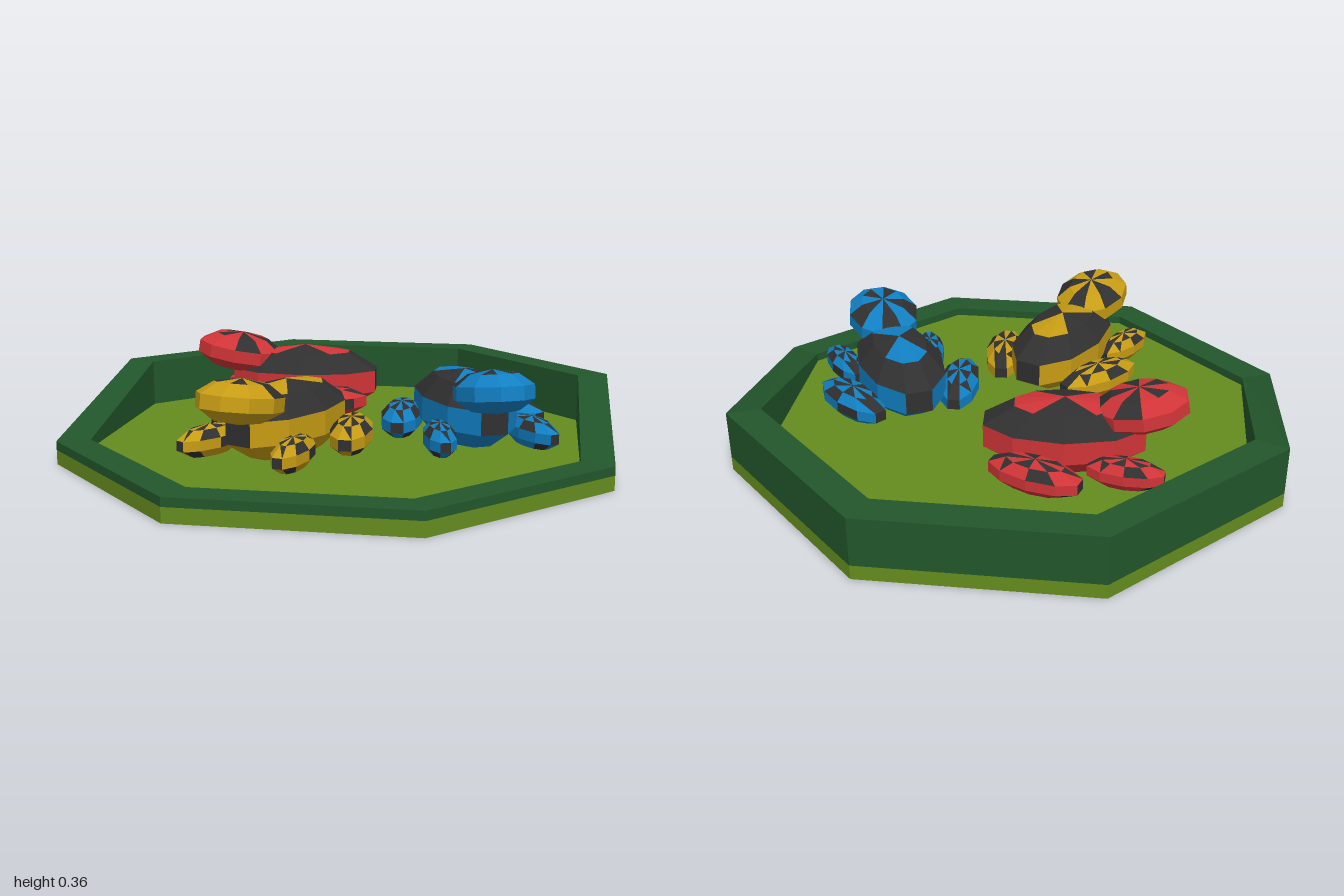
import * as THREE from 'three';

const paint = (color) => new THREE.MeshStandardMaterial({ color, flatShading: true });
const GRASS = paint(0x658c1e), HEDGE = paint(0x22562b), DARK = paint(0x303030);

// Skin patterns: one row per ring of the blob, one sign per side.
// '#' dark, '.' coloured, '^' only the upper triangle dark.
const SKIN = {
  body: ['#...##...#', '##########', '..#....#..', '..........', '..........'],
  head: ['.#.#.#.#.#', '.....#.#.#', '..........', '..........', '..........'],
  limb: ['.#.#.#.#.#', '#.^.#.^#^.', '..#..#.#..', '.#.#...#..', '..........'],
};

// Faceted ellipsoid with ten sides and five rings, split into dark and coloured faces
function blob(name, skin, material, radii, position) {
  const geo = new THREE.SphereGeometry(1, 10, 5);
  geo.scale(...radii);
  geo.clearGroups();
  let start = 0;
  skin.forEach((row, ring) => {
    const triangles = ring === 0 || ring === 4 ? 1 : 2;
    for (const sign of row) {
      for (let t = 0; t < triangles; t++) {
        const dark = sign === '#' || (sign === '^' && t === 0);
        geo.addGroup(start, 3, dark ? 1 : 0);
        start += 3;
      }
    }
  });
  const mesh = new THREE.Mesh(geo, [material, DARK]);
  mesh.name = name;
  mesh.position.set(...position);
  return mesh;
}

// Frog centred on its body, facing +z
function frog(name, color, x, z, yaw) {
  const g = new THREE.Group();
  g.name = name;
  const skin = paint(color);
  g.add(blob('body', SKIN.body, skin, [0.16, 0.13, 0.295], [0, 0.185, 0]));

  const head = blob('head', SKIN.head, skin, [0.134, 0.074, 0.168], [0, 0.285, 0.25]);
  head.rotation.x = -0.17;
  g.add(head);

  for (const [side, s] of [['left', 1], ['right', -1]]) {
    const hind = blob(side + 'HindLeg', SKIN.limb, skin, [0.074, 0.06, 0.175], [s * 0.195, 0.135, -0.09]);
    hind.rotation.y = s * 0.42;
    const front = blob(side + 'FrontLeg', SKIN.limb, skin, [0.056, 0.055, 0.138], [s * 0.163, 0.13, 0.2]);
    front.rotation.y = s * 0.2;
    g.add(hind, front);
  }
  g.position.set(x, 0, z);
  g.rotation.y = yaw;
  return g;
}

function octagon(radius, Type) {
  const points = [];
  for (let i = 0; i < 8; i++) {
    const a = (i * Math.PI) / 4;
    points.push(new THREE.Vector2(Math.cos(a) * radius, Math.sin(a) * radius));
  }
  return new Type(points);
}

// Octagonal rim, high along the back and left-hand corner, low at the front
function rim() {
  const shape = octagon(1, THREE.Shape);
  shape.holes.push(octagon(0.885, THREE.Path));
  const geo = new THREE.ExtrudeGeometry(shape, { depth: 1, bevelEnabled: false });
  geo.rotateX(-Math.PI / 2);
  const p = geo.attributes.position;
  for (let i = 0; i < p.count; i++) {
    const high = p.getZ(i) < -0.1 || p.getX(i) < -0.8;
    p.setY(i, p.getY(i) < 0.5 ? 0.05 : high ? 0.22 : 0.08);
  }
  geo.computeVertexNormals();
  const mesh = new THREE.Mesh(geo, HEDGE);
  mesh.name = 'rim';
  return mesh;
}

export function createModel() {
  const model = new THREE.Group();
  model.name = 'frogDish';

  const base = new THREE.Mesh(new THREE.CylinderGeometry(1, 1, 0.05, 8), [GRASS, GRASS, HEDGE]);
  base.name = 'base';
  base.position.y = 0.025;
  model.add(base, rim());

  model.add(
    frog('yellowFrog', 0xc79c14, 0, 0.36, 0),
    frog('blueFrog', 0x1180c4, 0.42, -0.1, 0.84),
    frog('redFrog', 0xd03437, -0.3, -0.2, -1.11),
  );
  return model;
}
